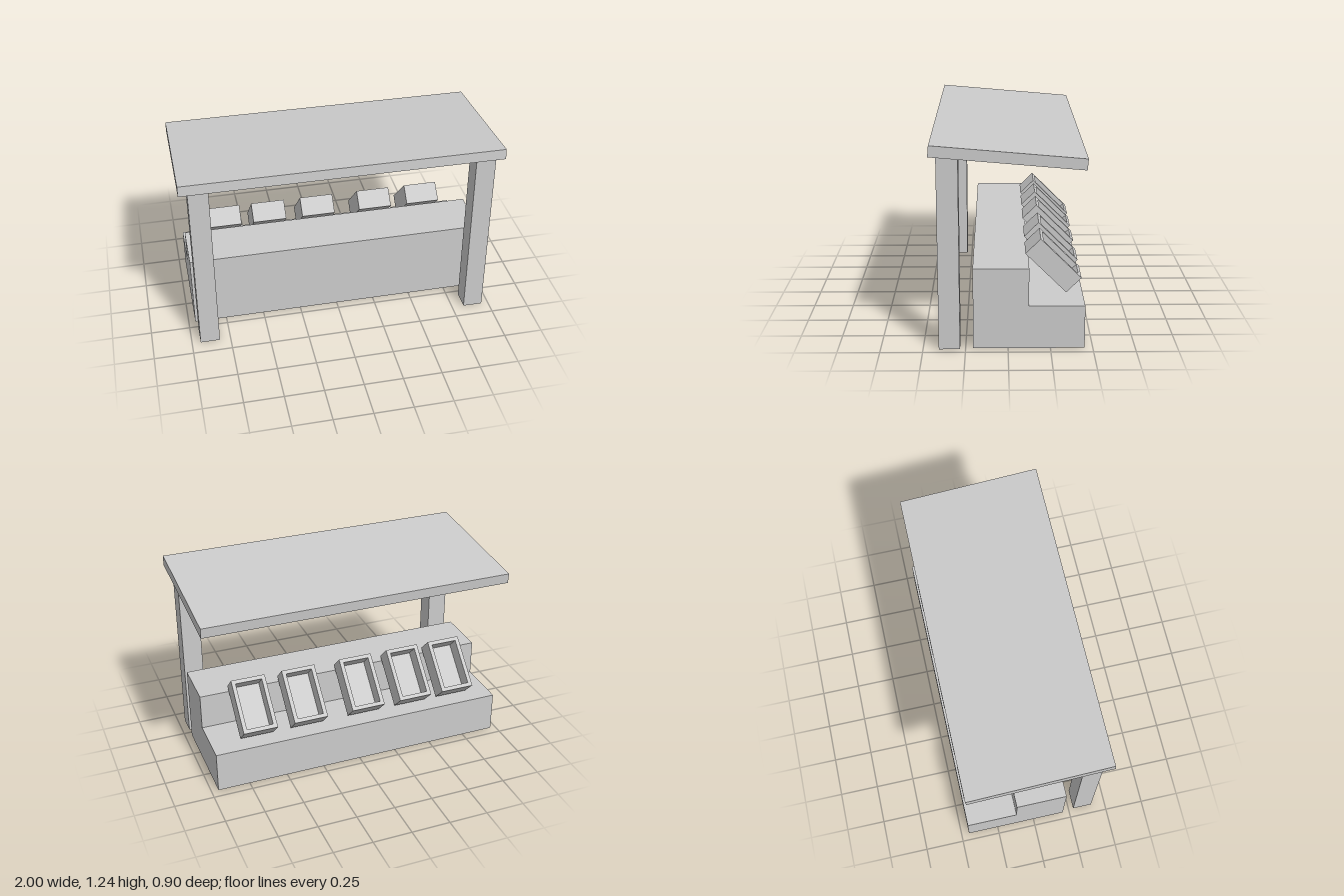
import * as THREE from 'three';

const material = new THREE.MeshStandardMaterial({ color: 0xcccccc, flatShading: true });

function addMesh(parent, name, geometry, x = 0, y = 0, z = 0) {
  const mesh = new THREE.Mesh(geometry, material);
  mesh.name = name;
  mesh.position.set(x, y, z);
  parent.add(mesh);
  return mesh;
}

// Rectangle outline centred on the origin
function rectangle(Type, w, h) {
  return new Type([[-w, -h], [w, -h], [w, h], [-w, h]]
    .map(([x, y]) => new THREE.Vector2(x / 2, y / 2)));
}

// Open box: a rectangular wall ring with a floor set into it
function createCrate() {
  const width = 0.22, length = 0.346, height = 0.128, wall = 0.025, floor = 0.028;
  const innerW = width - 2 * wall, innerL = length - 2 * wall;
  const crate = new THREE.Group();

  const ring = rectangle(THREE.Shape, width, length);
  ring.holes.push(rectangle(THREE.Path, innerW, innerL));
  const walls = new THREE.ExtrudeGeometry(ring, { depth: height, bevelEnabled: false });
  walls.translate(0, 0, -height / 2).rotateX(-Math.PI / 2);

  addMesh(crate, 'crateWalls', walls);
  addMesh(crate, 'crateFloor', new THREE.BoxGeometry(innerW, floor, innerL), 0, (floor - height) / 2, 0);
  return crate;
}

export function createModel() {
  const stall = new THREE.Group();
  stall.name = 'marketStall';

  // Stepped counter: side profile as (-z, y), extruded along x
  const profile = new THREE.Shape([
    [-0.205, 0.008], [0.45, 0.008], [0.45, 0.27], [0.122, 0.27], [0.122, 0.5], [-0.205, 0.5],
  ].map(([x, y]) => new THREE.Vector2(x, y)));
  const counter = new THREE.ExtrudeGeometry(profile, { depth: 1.915, bevelEnabled: false });
  counter.translate(0, 0, -1.915 / 2).rotateY(Math.PI / 2);
  addMesh(stall, 'counter', counter);

  // Front posts
  for (const [name, x] of [['rightPost', -0.882], ['leftPost', 0.892]]) {
    addMesh(stall, name, new THREE.BoxGeometry(0.125, 1.167, 0.125), x, 1.167 / 2, 0.345);
  }

  // Roof board sloping down to the back
  const roof = addMesh(stall, 'roof', new THREE.BoxGeometry(2, 0.066, 0.895), 0, 1.165, 0.001);
  roof.rotation.x = -0.0865;

  // Crates leaning on the step, open towards the back
  [-0.69, -0.39, -0.06, 0.33, 0.662].forEach((x, i) => {
    const crate = createCrate();
    crate.name = `crate${i + 1}`;
    crate.position.set(x, 0.4525, -0.272);
    crate.rotation.x = -Math.PI / 4;
    stall.add(crate);
  });

  return stall;
}
